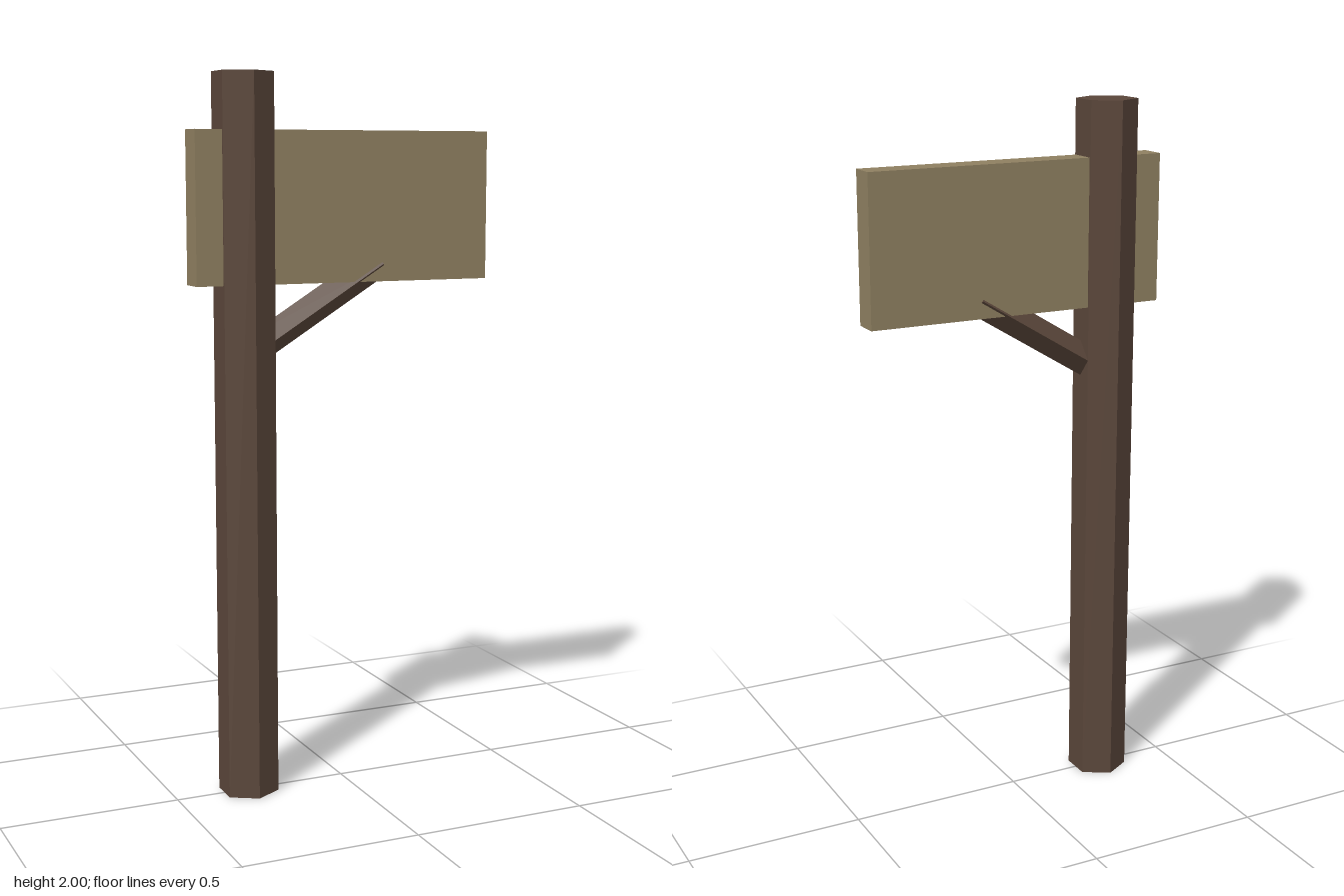
import * as THREE from 'three';

// Faceted prism between two points
function prism(name, from, to, radius, sides, material) {
  const dir = new THREE.Vector3().subVectors(to, from);
  const geo = new THREE.CylinderGeometry(radius, radius, dir.length(), sides).toNonIndexed();
  geo.computeVertexNormals();
  const mesh = new THREE.Mesh(geo, material);
  mesh.name = name;
  mesh.position.addVectors(from, to).multiplyScalar(0.5);
  mesh.quaternion.setFromUnitVectors(new THREE.Vector3(0, 1, 0), dir.normalize());
  return mesh;
}

export function createModel() {
  const darkWood = new THREE.MeshStandardMaterial({ color: 0x5a463a });
  darkWood.name = 'dark wood';
  const paleWood = new THREE.MeshStandardMaterial({ color: 0x8f8061 });
  paleWood.name = 'pale wood';

  const group = new THREE.Group();
  group.name = 'signpost';
  const postX = -0.287;
  const v = (x, y) => new THREE.Vector3(x, y, 0);

  // Six-sided post
  group.add(prism('post', v(postX, 0), v(postX, 2), 0.085, 6, darkWood));

  // Square brace set on edge, rising from the post into the board
  group.add(prism('brace', v(postX, 1.237), v(0.113, 1.482), 0.043, 4, darkWood));

  // Blank board passing through the post
  const board = new THREE.Mesh(new THREE.BoxGeometry(0.874, 0.414, 0.076), paleWood);
  board.name = 'board';
  board.position.y = 1.64;
  group.add(board);

  return group;
}
